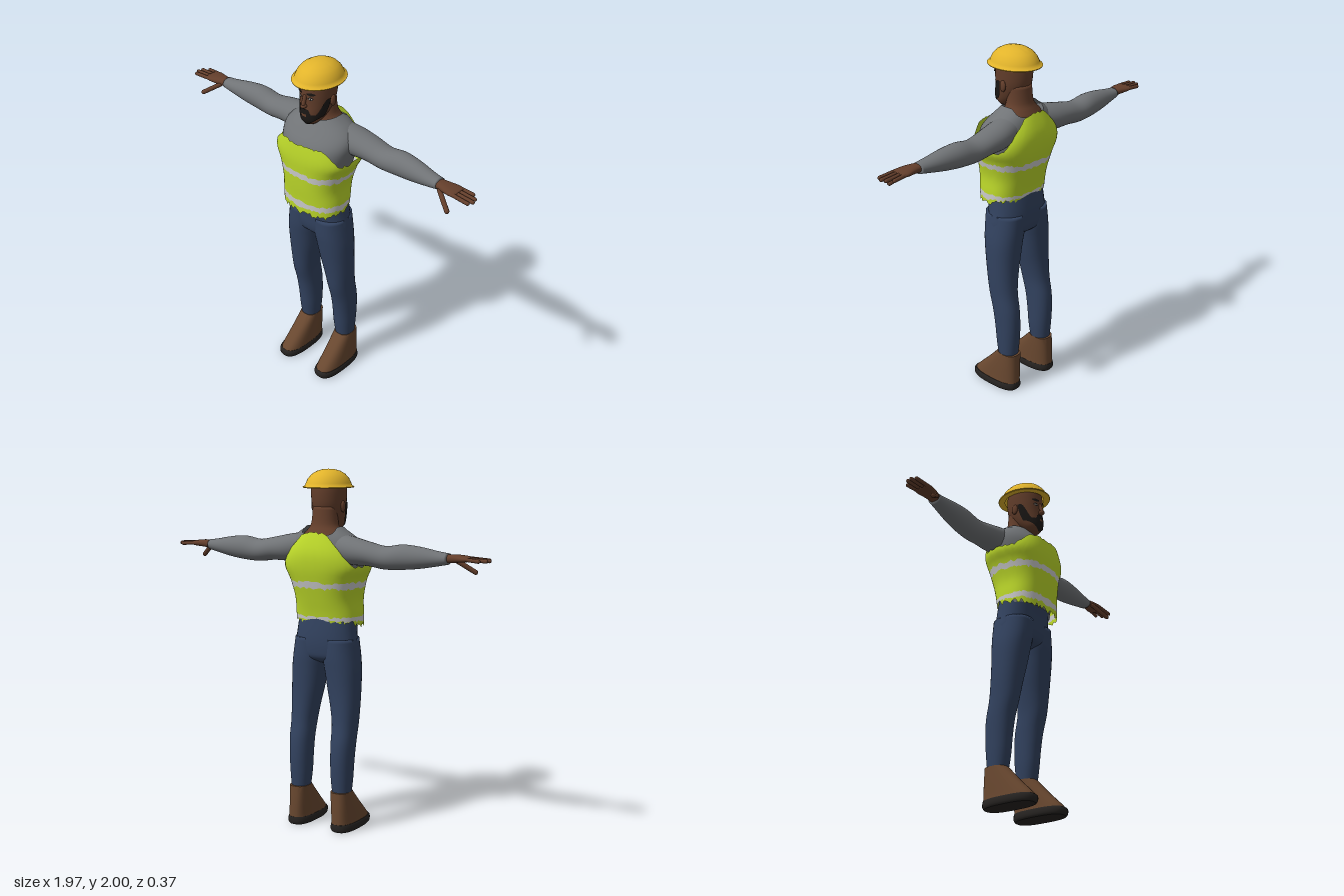
import * as THREE from 'three';
import { mergeVertices, toCreasedNormals } from 'three/addons/utils/BufferGeometryUtils.js';

const mat = (name, color, double) => {
  const m = new THREE.MeshStandardMaterial({ color });
  m.name = name;
  if (double) m.side = THREE.DoubleSide;
  return m;
};
const FULL = Math.PI * 2;
const smooth = THREE.MathUtils.smoothstep;
// Repeatable noise between -1 and 1 for torn edges
const noise = (i, seed) => {
  const v = Math.sin(i * 12.9898 + seed * 78.233) * 43758.5453;
  return (v - Math.floor(v)) * 2 - 1;
};

// Smooths a table of cross-sections [t, aMin, aMax, bMin, bMax]
function refine(rows, n = 4) {
  const out = [];
  const cr = (a, b, c, d, k) => 0.5 * (2 * b + (c - a) * k + (2 * a - 5 * b + 4 * c - d) * k * k + (3 * b - a - 3 * c + d) * k * k * k);
  for (let i = 0; i < rows.length - 1; i++) {
    const p = [rows[Math.max(i - 1, 0)], rows[i], rows[i + 1], rows[Math.min(i + 2, rows.length - 1)]];
    for (let j = 0; j < n; j++) out.push(p[1].map((_, c) => cr(p[0][c], p[1][c], p[2][c], p[3][c], j / n)));
  }
  out.push(rows[rows.length - 1]);
  return out;
}

// Cross-section at height t
function section(rows, t) {
  let i = 0;
  while (i < rows.length - 2 && rows[i + 1][0] < t) i++;
  const k = THREE.MathUtils.clamp((t - rows[i][0]) / (rows[i + 1][0] - rows[i][0]), 0, 1);
  const r = rows[i].map((v, c) => v + (rows[i + 1][c] - v) * k);
  r[0] = t;
  return r;
}

// Point on a rounded cross-section; e < 1 makes it squarer
function ringPoint([t, a0, a1, b0, b1], th, e, axis) {
  const pw = v => Math.sign(v) * Math.pow(Math.abs(v), e);
  const a = (a0 + a1) / 2 + (a1 - a0) / 2 * pw(Math.cos(th));
  const s = (b1 - b0) / 2 * pw(Math.sin(th));
  return axis === 'x' ? [t, a, (b0 + b1) / 2 - s] : [a, t, (b0 + b1) / 2 + s];
}

// Grid surface from a point function
function grid(nu, nv, f) {
  const pos = [], idx = [];
  for (let j = 0; j <= nv; j++) for (let i = 0; i <= nu; i++) pos.push(...f(i, j));
  for (let j = 0; j < nv; j++) for (let i = 0; i < nu; i++) {
    const a = j * (nu + 1) + i, c = a + nu + 1;
    idx.push(a, c, a + 1, a + 1, c, c + 1);
  }
  let g = new THREE.BufferGeometry();
  g.setAttribute('position', new THREE.Float32BufferAttribute(pos, 3));
  g.setIndex(idx);
  g = mergeVertices(g, 1e-5);
  g.computeVertexNormals();
  return g;
}

// Closed body lofted through the cross-sections
function solid(rows, { e = 1, axis = 'y', n = 4, seg = 32 } = {}) {
  const r = refine(rows, n);
  const cap = ([t, a, b, c, d]) => [t, (a + b) / 2, (a + b) / 2, (c + d) / 2, (c + d) / 2];
  const all = [cap(r[0]), ...r, cap(r[r.length - 1])];
  return grid(seg, all.length - 1, (i, j) => ringPoint(all[j], (i % seg) / seg * FULL, e, axis));
}

// Part of a body surface between two edges, lifted outward by off
function patch(rows, th0, th1, lo, hi, { off = 0, e = 1, nu = 24, nv = 6 } = {}) {
  const r = refine(rows);
  return grid(nu, nv, (i, j) => {
    const th = th0 + (th1 - th0) * i / nu;
    const k = th1 - th0 >= FULL - 1e-6 ? i % nu : i;
    const y0 = lo(th, k), y = y0 + Math.max(hi(th, k) - y0, 0) * j / nv;
    const [t, a0, a1, b0, b1] = section(r, y);
    return ringPoint([t, a0 - off, a1 + off, b0 - off, b1 + off], th, e);
  });
}

function mirrored(g) {
  const m = g.clone().scale(-1, 1, 1);
  if (!m.index) m.setIndex([...Array(m.attributes.position.count).keys()]);
  const a = m.index.array;
  for (let i = 0; i < a.length; i += 3) [a[i], a[i + 1]] = [a[i + 1], a[i]];
  return m;
}

// Rounded finger between two points
function finger(p, q, r) {
  const a = new THREE.Vector3(...p), b = new THREE.Vector3(...q), d = b.clone().sub(a);
  const g = new THREE.CapsuleGeometry(r, Math.max(d.length() - 2 * r, 0.01), 4, 10);
  g.applyQuaternion(new THREE.Quaternion().setFromUnitVectors(new THREE.Vector3(0, 1, 0), d.normalize()));
  return g.translate(...a.add(b).multiplyScalar(0.5).toArray());
}

export function createModel() {
  const root = new THREE.Group();
  root.name = 'worker';
  const skin = mat('skin', 0x633e2b), shirtGrey = mat('shirt grey', 0x707376, true), denim = mat('denim', 0x32425f);
  const lime = mat('vest lime', 0xbcd82a, true), silver = mat('reflective silver', 0xcccccc, true);
  const leather = mat('boot leather', 0x68472f), rubber = mat('sole rubber', 0x262321);
  const yellow = mat('helmet yellow', 0xe2b42b, true), hair = mat('hair', 0x1b1816, true), white = mat('eye white', 0xb8b0a8, true);
  const add = (name, g, m) => {
    const o = new THREE.Mesh(g, m);
    o.name = name;
    root.add(o);
  };
  const pair = (name, g, m) => { add('left' + name, g, m); add('right' + name, mirrored(g), m); };
  const sym = rows => rows.map(([y, w, b, f]) => [y, -w, w, b, f]);

  // Legs and hips
  pair('TrouserLeg', solid([
    [0.2, 0.085, 0.185, -0.125, -0.015], [0.3, 0.075, 0.192, -0.135, 0], [0.4, 0.072, 0.196, -0.14, 0.01],
    [0.5, 0.07, 0.2, -0.135, 0.025], [0.6, 0.065, 0.202, -0.117, 0.05], [0.7, 0.048, 0.206, -0.11, 0.065],
    [0.8, 0.026, 0.207, -0.11, 0.08], [0.9, 0.008, 0.205, -0.115, 0.095], [0.98, -0.005, 0.196, -0.12, 0.105],
    [1.08, -0.005, 0.18, -0.12, 0.108]], { e: 0.9 }), denim);
  add('trouserHips', solid(sym([[0.94, 0.1, -0.06, 0.05], [0.97, 0.18, -0.11, 0.09], [1.02, 0.19, -0.123, 0.105],
    [1.1, 0.178, -0.125, 0.11], [1.22, 0.165, -0.113, 0.125]]), { e: 0.9 }), denim);

  // Boots
  pair('Boot', toCreasedNormals(solid([[0.035, 0.075, 0.206, -0.144, 0.166], [0.06, 0.077, 0.203, -0.144, 0.15],
    [0.14, 0.079, 0.196, -0.143, 0.07], [0.225, 0.081, 0.188, -0.14, -0.01]], { e: 0.75 }), 0.7), leather);
  pair('Sole', toCreasedNormals(solid([[0, 0.078, 0.206, -0.14, 0.165], [0.012, 0.07, 0.213, -0.147, 0.173],
    [0.035, 0.071, 0.212, -0.147, 0.175], [0.045, 0.075, 0.207, -0.145, 0.166]], { e: 0.75, n: 2 }), 0.7), rubber);

  // Shirt body with an open collar, and sleeves
  const torso = sym([[1.16, 0.165, -0.105, 0.13], [1.3, 0.168, -0.125, 0.15], [1.42, 0.19, -0.15, 0.165],
    [1.5, 0.212, -0.155, 0.163], [1.56, 0.222, -0.15, 0.145], [1.61, 0.21, -0.145, 0.108], [1.65, 0.165, -0.135, 0.075],
    [1.68, 0.118, -0.118, 0.052], [1.71, 0.085, -0.1, 0.04]]);
  add('shirt', patch(torso, 0, FULL, () => 1.16, th => 1.672 + 0.022 * Math.abs(Math.cos(th)) - 0.03 * smooth(-Math.sin(th), 0.3, 1),
    { e: 0.9, nu: 48, nv: 30 }), shirtGrey);
  pair('Sleeve', solid([[0.1, 1.51, 1.66, -0.125, 0.03], [0.2, 1.495, 1.645, -0.145, 0.025], [0.3, 1.495, 1.624, -0.145, 0.01],
    [0.4, 1.483, 1.606, -0.137, 0], [0.5, 1.487, 1.62, -0.134, -0.003], [0.6, 1.498, 1.612, -0.12, -0.006],
    [0.7, 1.516, 1.594, -0.1, -0.012], [0.76, 1.528, 1.586, -0.09, -0.016]], { axis: 'x' }), shirtGrey);

  // Hands
  pair('Palm', solid([[0.74, 1.536, 1.58, -0.08, -0.022], [0.8, 1.54, 1.582, -0.086, -0.006],
    [0.85, 1.545, 1.578, -0.096, 0.004], [0.885, 1.55, 1.572, -0.092, 0.002]], { axis: 'x', e: 0.85 }), skin);
  [[-0.086, 0.95], [-0.058, 0.98], [-0.031, 0.987], [-0.005, 0.975]].forEach(([z, x], i) =>
    pair('Finger' + (i + 1), finger([0.85, 1.563, z * 0.9 - 0.004], [x, 1.556, z], 0.0105), skin));
  pair('Thumb', finger([0.775, 1.555, -0.022], [0.882, 1.48, 0.038], 0.013), skin);

  // Safety vest: bands of colour sharing torn edges
  const vest = sym([[1.08, 0.186, -0.105, 0.162], [1.2, 0.19, -0.117, 0.166], [1.3, 0.187, -0.14, 0.175],
    [1.4, 0.21, -0.165, 0.181], [1.48, 0.242, -0.181, 0.184], [1.57, 0.205, -0.18, 0.174], [1.69, 0.12, -0.138, 0.15]]);
  const edge = (base, amp, seed) => (th, i) => base(Math.sin(th)) + amp * noise(i, seed);
  const hem = edge(s => 1.155 - 0.02 * Math.max(s, 0) + 0.022 * smooth(-s, 0, 0.6), 0.016, 1);
  const hemStripe = [edge(s => 1.176 - 0.004 * s, 0.009, 2), edge(s => 1.206 + 0.005 * s, 0.006, 3)];
  const chestStripe = [edge(s => 1.362, 0.008, 4), edge(s => 1.396, 0.008, 5)];
  const top = edge(s => 1.485 + 0.085 * smooth(s, 0.4, 0.85) + 0.18 * smooth(-s, 0.45, 1), 0.007, 6);
  const band = (name, lo, hi, m, nv) => add(name, patch(vest, 0, FULL, lo, hi, { e: 0.8, nu: 88, nv }), m);
  band('vestHem', hem, hemStripe[0], lime, 2);
  band('vestLowerStripe', hemStripe[0], hemStripe[1], silver, 2);
  band('vestWaist', hemStripe[1], chestStripe[0], lime, 8);
  band('vestUpperStripe', chestStripe[0], chestStripe[1], silver, 2);
  band('vestChest', chestStripe[1], top, lime, 10);

  // Neck and head
  add('neck', solid(sym([[1.58, 0.14, -0.14, 0.05], [1.64, 0.125, -0.13, 0.048], [1.67, 0.1, -0.116, 0.042],
    [1.71, 0.077, -0.098, 0.036], [1.8, 0.07, -0.088, 0.03]])), skin);
  const head = sym([[1.665, 0.032, 0.03, 0.1], [1.69, 0.055, 0, 0.117], [1.73, 0.073, -0.05, 0.12], [1.79, 0.088, -0.084, 0.117],
    [1.85, 0.094, -0.095, 0.118], [1.92, 0.094, -0.093, 0.113], [1.96, 0.07, -0.07, 0.085]]);
  add('head', solid(head), skin);
  pair('Ear', new THREE.SphereGeometry(1, 14, 10).scale(0.011, 0.032, 0.019).translate(0.094, 1.8, 0.004), skin);
  add('nose', new THREE.SphereGeometry(1, 14, 10).scale(0.017, 0.013, 0.02).translate(0, 1.782, 0.126), skin);
  add('noseBridge', finger([0, 1.845, 0.113], [0, 1.782, 0.133], 0.011), skin);

  // Beard with sideburns, brows, eyes and lips
  const ab = th => Math.abs(Math.cos(th));
  add('beard', patch(head, 0.12, Math.PI - 0.12, th => 1.666 + 0.055 * ab(th) ** 2,
    th => 1.764 - 0.03 * smooth(ab(th), 0.25, 0.5) + 0.09 * smooth(ab(th), 0.72, 0.97), { off: 0.006, nu: 40, nv: 10 }), hair);
  const facial = (name, t0, t1, y0, y1, off, m) => {
    const k = th => Math.sin(Math.PI * (th - t0) / (t1 - t0));
    pair(name, patch(head, t0, t1, th => y0 + (y1 - y0) * 0.4 * (1 - k(th)), th => y1 - (y1 - y0) * 0.4 * (1 - k(th)), { off, nu: 10, nv: 2 }), m);
  };
  facial('Brow', 0.92, 1.42, 1.846, 1.864, 0.005, hair);
  facial('EyeLine', 1.02, 1.36, 1.818, 1.838, 0.002, hair);
  facial('EyeWhite', 1.08, 1.3, 1.822, 1.833, 0.003, white);
  facial('Iris', 1.15, 1.23, 1.822, 1.834, 0.004, hair);
  add('lips', patch(head, 1.38, Math.PI - 1.38, () => 1.722, () => 1.735, { off: 0.009, nu: 8, nv: 2 }), skin);

  // Hard hat with a thin brim
  const hatProfile = [[0.1, 1.9], [0.132, 1.9], [0.134, 1.905], [0.122, 1.911], [0.117, 1.925], [0.107, 1.948], [0.087, 1.972],
    [0.06, 1.989], [0.03, 1.998], [0, 2]].map(p => new THREE.Vector2(...p));
  add('hardHat', toCreasedNormals(new THREE.LatheGeometry(hatProfile, 40).scale(1, 1, 1.19).translate(0, 0, 0.006), 0.8), yellow);
  return root;
}
